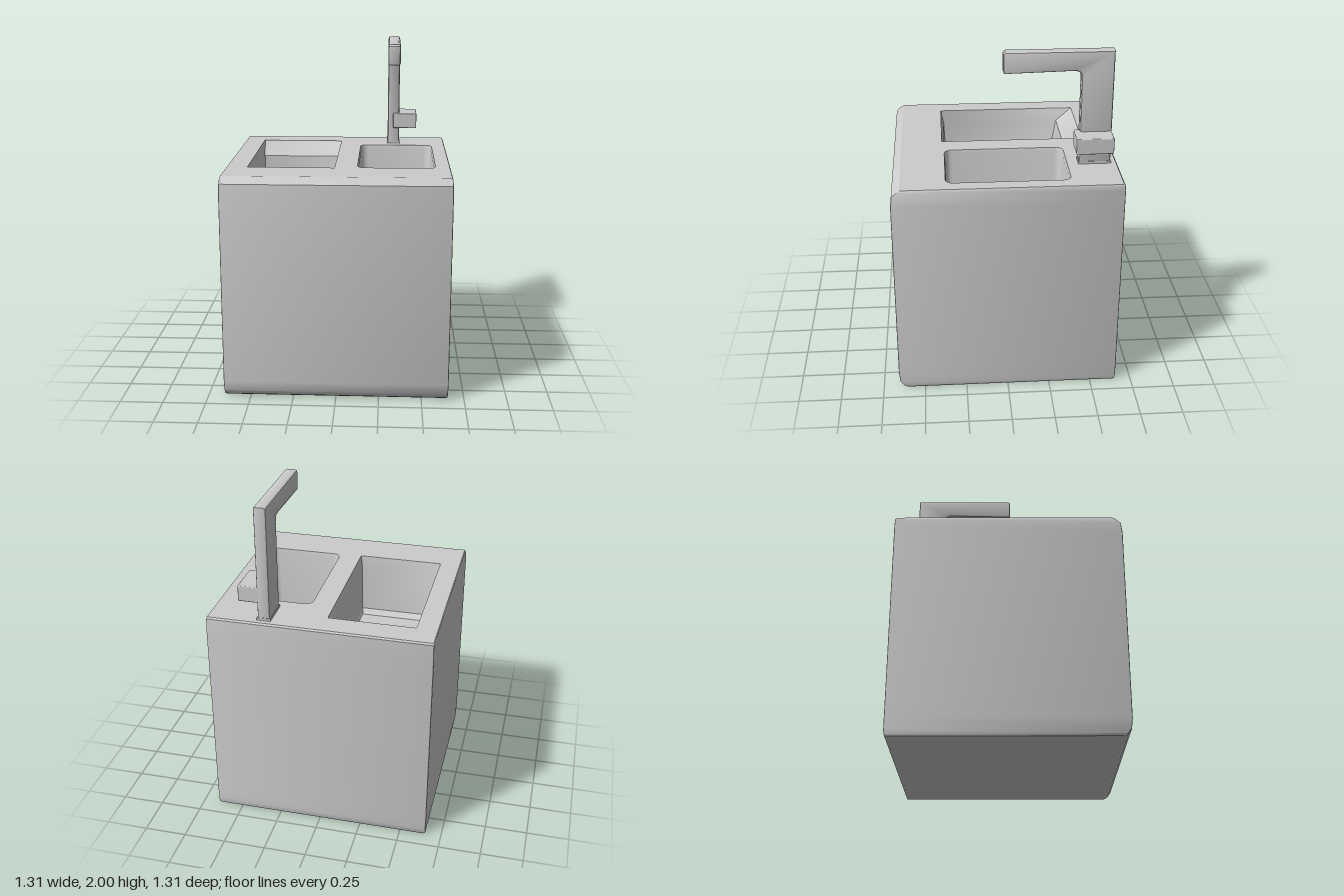
import * as THREE from 'three';
import { toCreasedNormals } from 'three/addons/utils/BufferGeometryUtils.js';
import { RoundedBoxGeometry } from 'three/addons/geometries/RoundedBoxGeometry.js';

const TOP = 1.32;
const material = new THREE.MeshStandardMaterial({ color: 0xcccccc });

// Horizontal rounded rectangle at height y, as a loop of points
function ring(y, x0, x1, z0, z1, r, seg = 2) {
  const corners = [[x1 - r, z1 - r], [x0 + r, z1 - r], [x0 + r, z0 + r], [x1 - r, z0 + r]];
  const points = [];
  corners.forEach(([cx, cz], i) => {
    for (let s = 0; s <= seg; s++) {
      const a = (i + s / seg) * Math.PI / 2;
      points.push(new THREE.Vector3(cx + r * Math.cos(a), y, cz + r * Math.sin(a)));
    }
  });
  return points;
}

// Skin through rings listed from bottom to top, with a floor on the first;
// inward = true turns the faces to the inside
function loft(rings, inward) {
  const n = rings[0].length, pos = [];
  const tri = (a, b, c) => (inward ? [a, c, b] : [a, b, c]).forEach(p => pos.push(p.x, p.y, p.z));
  for (let k = 0; k < rings.length - 1; k++) {
    for (let i = 0; i < n; i++) {
      const j = (i + 1) % n, lo = rings[k], hi = rings[k + 1];
      tri(lo[i], hi[i], hi[j]);
      tri(lo[i], hi[j], lo[j]);
    }
  }
  for (let i = 1; i < n - 1; i++) tri(rings[0][0], rings[0][i], rings[0][i + 1]);
  const g = new THREE.BufferGeometry();
  g.setAttribute('position', new THREE.Float32BufferAttribute(pos, 3));
  return toCreasedNormals(g, 0.6);
}

function add(parent, name, geometry) {
  const mesh = new THREE.Mesh(geometry, material);
  mesh.name = name;
  parent.add(mesh);
  return mesh;
}

export function createModel() {
  const model = new THREE.Group();
  model.name = 'sinkUnit';

  // Cabinet block, chamfered along the front edges
  const body = [
    ring(0, -0.65, 0.65, -0.65, 0.61, 0.008),
    ring(0.012, -0.655, 0.655, -0.655, 0.63, 0.008),
    ring(0.04, -0.655, 0.655, -0.657, 0.65, 0.008),
    ring(0.1, -0.657, 0.657, -0.657, 0.657, 0.008),
    ring(1.22, -0.657, 0.657, -0.657, 0.657, 0.008),
    ring(1.282, -0.655, 0.655, -0.657, 0.65, 0.008),
    ring(1.31, -0.655, 0.655, -0.655, 0.62, 0.008),
    ring(TOP, -0.65, 0.65, -0.647, 0.605, 0.008),
  ];
  add(model, 'cabinet', loft(body, false));

  // Large basin with a stepped slope at the back
  const largeBasin = [
    ring(0.93, -0.495, -0.045, -0.325, 0.305, 0.01),
    ring(0.96, -0.51, -0.035, -0.355, 0.335, 0.01),
    ring(1.235, -0.522, -0.03, -0.4, 0.345, 0.01),
    ring(TOP, -0.53, -0.02, -0.497, 0.36, 0.004),
  ];
  add(model, 'largeBasin', loft(largeBasin, true));

  // Small basin with rounded corners
  const smallBasin = [
    ring(0.9, 0.14, 0.535, -0.345, 0.335, 0.03, 4),
    ring(0.94, 0.13, 0.545, -0.35, 0.34, 0.035, 4),
    ring(1.3, 0.118, 0.562, -0.357, 0.343, 0.04, 4),
    ring(TOP, 0.112, 0.568, -0.363, 0.348, 0.045, 4),
  ];
  add(model, 'smallBasin', loft(smallBasin, true));

  // Countertop with both openings
  const flat = loop => loop.map(p => new THREE.Vector2(p.x, -p.z));
  const deck = new THREE.Shape(flat(body.at(-1)));
  for (const basin of [largeBasin, smallBasin]) deck.holes.push(new THREE.Path(flat(basin.at(-1))));
  add(model, 'countertop', new THREE.ShapeGeometry(deck).rotateX(-Math.PI / 2).translate(0, TOP, 0));

  // Faucet: angled side profile, extruded across x with bevelled edges
  const faucet = new THREE.Group();
  faucet.name = 'faucet';
  model.add(faucet);
  const b = 0.015;
  const profile = new THREE.Shape([
    [-0.615, TOP], [-0.43, TOP], [-0.43, 1.855], [-0.422, 1.874], [-0.4, 1.884],
    [0.003, 1.874], [0.01, 1.885], [0.01, 1.99], [0, 2], [-0.615, 2],
  ].map(([z, y]) => new THREE.Vector2(-z, y)));
  const spout = new THREE.ExtrudeGeometry(profile, {
    depth: 0.075 - 2 * b, bevelSize: b, bevelThickness: b, bevelOffset: -b, bevelSegments: 2,
  });
  spout.rotateY(Math.PI / 2).translate(0.285 + b, 0, 0);
  add(faucet, 'spout', toCreasedNormals(spout, 0.6));

  // Square foot under the column, closing the bevel
  add(faucet, 'foot', new THREE.BoxGeometry(0.08, 0.02, 0.19)).position.set(0.3225, TOP + 0.005, -0.5225);

  // Lever block on the side of the column
  add(faucet, 'lever', new RoundedBoxGeometry(0.15, 0.095, 0.215, 2, 0.006)).position.set(0.395, 1.473, -0.506);

  return model;
}
